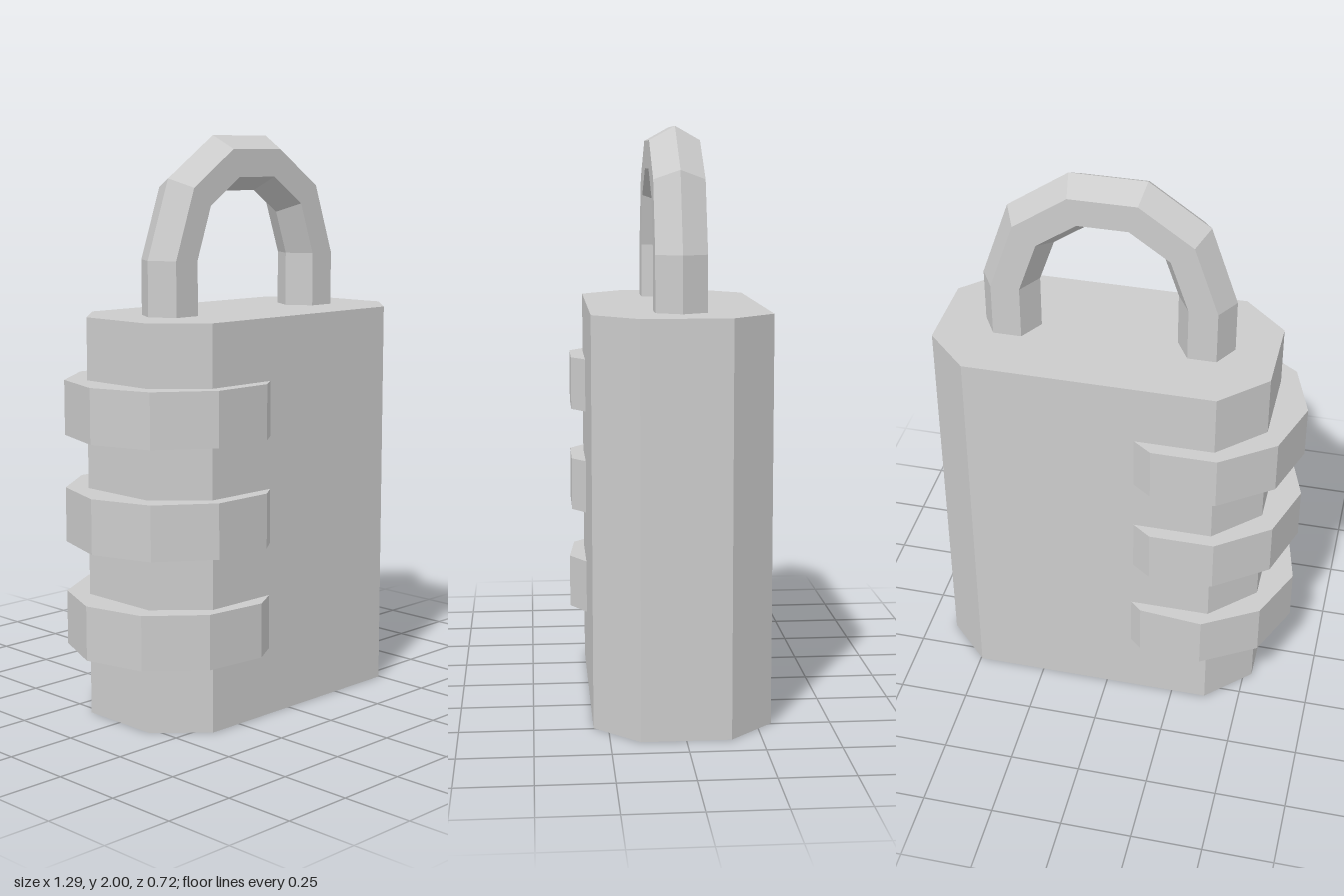
import * as THREE from 'three';

const material = new THREE.MeshStandardMaterial({ color: 0xcccccc, flatShading: true, roughness: 0.8 });

function addPart(parent, name, geometry) {
  const mesh = new THREE.Mesh(geometry, material);
  mesh.name = name;
  parent.add(mesh);
  return mesh;
}

// Chamfered octagonal block, standing on y = 0
function bodyGeometry() {
  const outline = [
    [-0.375, -0.3], [0.495, -0.3], [0.645, -0.15], [0.645, 0.15],
    [0.495, 0.3], [-0.375, 0.3], [-0.53, 0.15], [-0.53, -0.15],
  ].map(([x, y]) => new THREE.Vector2(x, y));
  const geometry = new THREE.ExtrudeGeometry(new THREE.Shape(outline), { depth: 1.39, bevelEnabled: false });
  return geometry.rotateX(-Math.PI / 2);
}

// Hexagonal section swept up one leg, round the arch and down the other
function shackleGeometry() {
  const centreX = 0.055, springY = 1.58, archRadius = 0.34, barRadius = 0.1, sides = 6;
  const stations = [
    [180, 1.35], [180, springY], [141.5, springY], [107.5, springY],
    [72.5, springY], [38.5, springY], [0, springY], [0, 1.35],
  ];
  const positions = [], indices = [];
  for (const [degrees, baseY] of stations) {
    const angle = THREE.MathUtils.degToRad(degrees);
    for (let j = 0; j < sides; j++) {
      const turn = (j / sides) * Math.PI * 2;
      const r = archRadius + barRadius * Math.cos(turn);
      positions.push(centreX + r * Math.cos(angle), baseY + r * Math.sin(angle), barRadius * Math.sin(turn));
    }
  }
  for (let i = 0; i < stations.length - 1; i++) {
    for (let j = 0; j < sides; j++) {
      const next = (j + 1) % sides;
      const a = i * sides + j, b = i * sides + next;
      indices.push(a, b, b + sides, a, b + sides, a + sides);
    }
  }
  const geometry = new THREE.BufferGeometry();
  geometry.setAttribute('position', new THREE.Float32BufferAttribute(positions, 3));
  geometry.setIndex(indices);
  const flat = geometry.toNonIndexed();
  flat.computeVertexNormals();
  return flat;
}

export function createModel() {
  const padlock = new THREE.Group();
  padlock.name = 'combinationPadlock';

  addPart(padlock, 'body', bodyGeometry());
  addPart(padlock, 'shackle', shackleGeometry());

  // Ten-sided number dials; the lowest is turned slightly
  const dials = new THREE.Group();
  dials.name = 'dials';
  padlock.add(dials);
  [['topDial', 1.08, 0], ['middleDial', 0.707, 0], ['bottomDial', 0.333, -5.4]].forEach(([name, y, turn]) => {
    const start = Math.PI / 2 + THREE.MathUtils.degToRad(turn);
    const dial = addPart(dials, name, new THREE.CylinderGeometry(0.367, 0.367, 0.19, 10, 1, false, start));
    dial.position.set(-0.28, y, 0);
  });

  return padlock;
}
